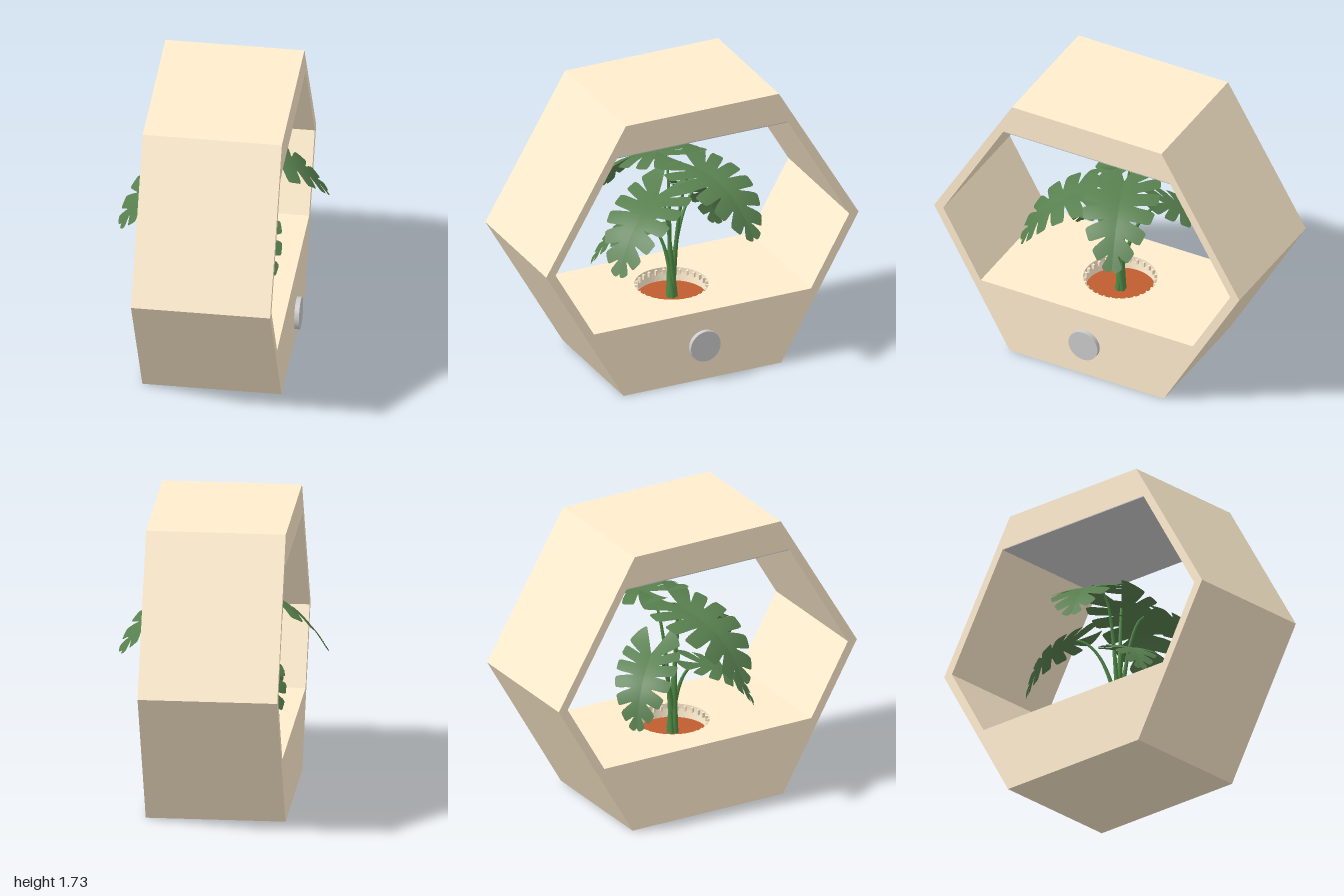
import * as THREE from 'three';

const mat = (color, side = THREE.FrontSide) =>
  new THREE.MeshStandardMaterial({ color, side, roughness: 0.8 });
const wood = mat(0xfeeccd);
const woodThin = mat(0xfeeccd, THREE.DoubleSide);
const grey = mat(0xcccccc);
const soilMat = mat(0xc05d30);
const leafMat = mat(0x58804f, THREE.DoubleSide);
const stemMat = mat(0x4f8a45);

const X0 = -0.4, X1 = 0.41, FLOOR = 0.435, CX = (X0 + X1) / 2;
const v3 = (a) => new THREE.Vector3(...a);

function add(parent, name, geometry, material) {
  const mesh = new THREE.Mesh(geometry, material);
  mesh.name = name;
  parent.add(mesh);
  return mesh;
}

// mirrored outline from its right half, listed bottom to top
function mirrored(half) {
  const left = half.map(([x, y]) => [-x, y]).reverse();
  return [...half, ...left].map(([x, y]) => new THREE.Vector2(x, y));
}

// extrude a z-y outline along x
function extrudeX(shape, from, to) {
  const g = new THREE.ExtrudeGeometry(shape, { depth: to - from, bevelEnabled: false });
  return g.rotateY(Math.PI / 2).translate(from, 0, 0);
}

// split leaf: angled ribs fan out from the midrib, shortened where the slits are
function leafGeometry(base, tip, L) {
  const ROWS = 130, COLS = 6;
  const d = tip.clone().sub(base).normalize();
  const n = new THREE.Vector3(d.x, 0, d.z).normalize().add(new THREE.Vector3(0, 0.9, 0));
  n.addScaledVector(d, -n.dot(d)).normalize();
  const s = new THREE.Vector3().crossVectors(n, d);
  const pos = [], idx = [];
  for (const side of [-1, 1]) {
    const start = pos.length / 3;
    for (let i = 0; i <= ROWS; i++) {
      const k = i / ROWS;
      const angle = THREE.MathUtils.lerp(2.75, 0.4, k);
      const t = Math.pow(k, 1.6);
      const slit = k > 0.2 && k < 0.92 ? Math.pow(Math.abs(Math.cos(Math.PI * 8 * k)), 14) : 0;
      const R = 1.15 * Math.pow(1 - k, 0.6) * (0.36 + 0.3 * k) * (1 - 0.62 * slit);
      for (let j = 0; j <= COLS; j++) {
        const r = R * j / COLS;
        const along = t + r * Math.cos(angle);
        const across = r * Math.sin(angle);
        const lift = 0.14 * Math.sin(Math.PI * Math.min(along, 1.1)) - 0.45 * across * across + 0.12 * across;
        const p = base.clone().addScaledVector(d, along * L)
          .addScaledVector(s, side * across * L).addScaledVector(n, lift * L);
        pos.push(p.x, p.y, p.z);
      }
    }
    for (let i = 0; i < ROWS; i++) for (let j = 0; j < COLS; j++) {
      const a = start + i * (COLS + 1) + j, b = a + 1, c = a + COLS + 1, e = c + 1;
      if (side > 0) idx.push(a, c, b, b, c, e);
      else idx.push(a, b, c, b, e, c);
    }
  }
  const g = new THREE.BufferGeometry();
  g.setAttribute('position', new THREE.Float32BufferAttribute(pos, 3));
  g.setIndex(idx);
  g.computeVertexNormals();
  return g;
}

function createPlant() {
  const plant = new THREE.Group();
  plant.name = 'plant';
  // leaf base and leaf tip
  const leaves = [
    [[-0.12, 1.2, -0.02], [-0.57, 0.86, 0.14]],
    [[0.12, 1.22, -0.09], [0.57, 0.93, -0.25]],
    [[0.08, 1.07, 0.12], [0.30, 0.73, 0.48]],
    [[-0.1, 0.8, 0.12], [-0.25, 0.55, 0.39]],
    [[-0.13, 0.95, -0.22], [-0.32, 0.6, -0.43]],
  ];
  leaves.forEach(([b, t], i) => {
    const base = v3(b), tip = v3(t);
    add(plant, 'leaf', leafGeometry(base, tip, base.distanceTo(tip)), leafMat);
    const a = i / leaves.length * Math.PI * 2 + 2.6;
    const path = new THREE.CubicBezierCurve3(
      new THREE.Vector3(0.022 * Math.cos(a), 0.33, 0.022 * Math.sin(a)),
      new THREE.Vector3(b[0] * 0.15, 0.65, b[2] * 0.1),
      new THREE.Vector3(b[0] * 0.4, b[1] * 0.97, b[2] * 0.4),
      base);
    // stem, thinner toward the leaf
    const SEG = 20, RAD = 8;
    const g = new THREE.TubeGeometry(path, SEG, 0.017, RAD);
    const p = g.attributes.position;
    for (let q = 0; q < p.count; q++) {
      const u = Math.floor(q / (RAD + 1)) / SEG;
      const c = path.getPointAt(u);
      const v = new THREE.Vector3().fromBufferAttribute(p, q).sub(c)
        .multiplyScalar(1 - 0.6 * u).add(c);
      p.setXYZ(q, v.x, v.y, v.z);
    }
    add(plant, 'stem', g, stemMat);
  });
  return plant;
}

export function createModel() {
  const model = new THREE.Group();
  model.name = 'hexagonPlanter';

  // hexagonal shell, open on both sides
  const shell = new THREE.Shape(mirrored([[0.505, 0], [1, 0.865], [0.49, 1.73]]));
  shell.holes.push(new THREE.Path(mirrored([[0.475, 0.05], [0.94, 0.865], [0.545, 1.54]])));
  add(model, 'shell', extrudeX(shell, X0, X1), wood);

  // panels closing the planter base
  const panel = new THREE.Shape(mirrored([[0.475, 0.05], [0.695, FLOOR]]));
  add(model, 'leftPanel', extrudeX(panel, X1 - 0.03, X1), wood);
  add(model, 'rightPanel', extrudeX(panel, X0, X0 + 0.03), wood);

  // floor with a round planting hole
  const floor = new THREE.Shape([[X0 + 0.03, -0.695], [X1 - 0.03, -0.695], [X1 - 0.03, 0.695], [X0 + 0.03, 0.695]]
    .map(([x, y]) => new THREE.Vector2(x, y)));
  floor.holes.push(new THREE.Path().absarc(0, 0, 0.215, 0, Math.PI * 2, true));
  const floorGeo = new THREE.ExtrudeGeometry(floor, { depth: 0.03, bevelEnabled: false, curveSegments: 32 });
  add(model, 'floor', floorGeo.rotateX(-Math.PI / 2).translate(0, FLOOR - 0.03, 0), wood);

  // pot wall, rim studs and soil
  const pot = new THREE.LatheGeometry(
    [[0, 0.12], [0.17, 0.12], [0.205, 0.35], [0.215, 0.405]].map(([r, y]) => new THREE.Vector2(r, y)), 48);
  add(model, 'pot', pot, woodThin);
  for (let i = 0; i < 28; i++) {
    const a = i / 28 * Math.PI * 2;
    const stud = add(model, 'rimStud', new THREE.BoxGeometry(0.012, 0.03, 0.018), wood);
    stud.position.set(0.207 * Math.sin(a), 0.412, 0.207 * Math.cos(a));
    stud.rotation.y = a;
  }
  add(model, 'soil', new THREE.CylinderGeometry(0.204, 0.195, 0.04, 48).translate(0, 0.335, 0), soilMat);

  // lamp panel under the ceiling
  add(model, 'lampPanel', new THREE.BoxGeometry(X1 - X0, 0.006, 1.09).translate(CX, 1.538, 0), grey);

  // dial on the left side
  const dial = new THREE.CylinderGeometry(0.095, 0.095, 0.028, 48).rotateZ(Math.PI / 2);
  add(model, 'dial', dial.translate(0.442, 0.23, 0), grey);

  model.add(createPlant());
  return model;
}
